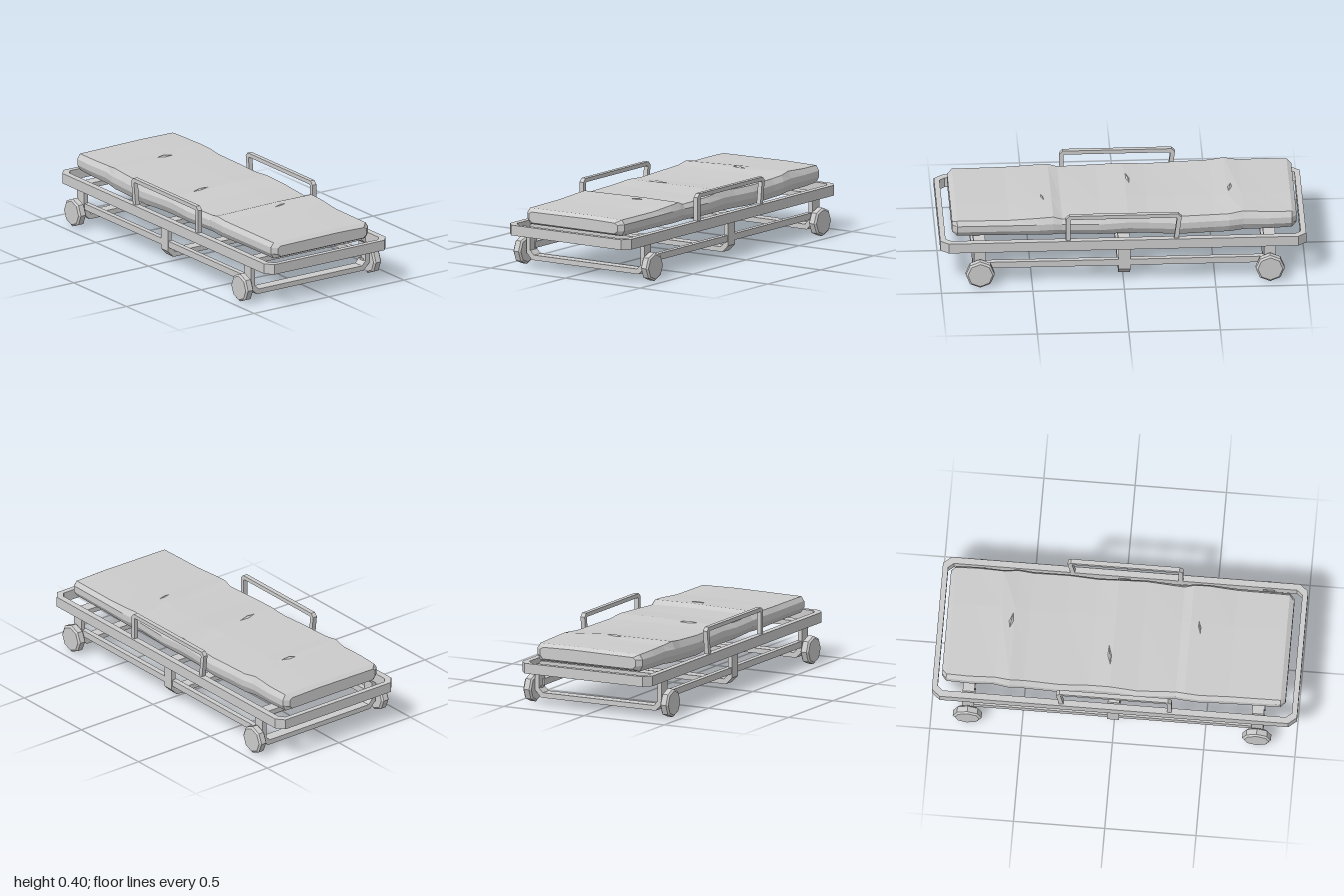
import * as THREE from 'three';
import { ConvexGeometry } from 'three/addons/geometries/ConvexGeometry.js';

const CX = 0.004; // the frame sits very slightly off centre
const mat = new THREE.MeshStandardMaterial({ color: 0xcccccc, flatShading: true });

function add(parent, name, geometry, x = 0, y = 0, z = 0) {
  const mesh = new THREE.Mesh(geometry, mat);
  mesh.name = name;
  mesh.position.set(x, y, z);
  parent.add(mesh);
  return mesh;
}

// Rectangle with cut corners, half sizes w and h
function cutRect(w, h, cx, cy = cx) {
  return [[w - cx, -h], [w, -h + cy], [w, h - cy], [w - cx, h],
    [-w + cx, h], [-w, h - cy], [-w, -h + cy], [-w + cx, -h]]
    .map(([x, y]) => new THREE.Vector2(x, y));
}

// Closed flat ring, extruded and centred on its depth
function ring(outer, inner, depth) {
  const shape = new THREE.Shape(outer);
  shape.holes.push(new THREE.Path(inner));
  return new THREE.ExtrudeGeometry(shape, { depth, bevelEnabled: false }).translate(0, 0, -depth / 2);
}

// Mattress lofted from cut-corner sections along z
function mattressGeometry() {
  // z, half width, bottom, top at left side, top at right side
  const sections = [
    [0.932, 0.295, 0.268, 0.328, 0.328],
    [0.905, 0.325, 0.255, 0.345, 0.345],
    [0.62, 0.328, 0.255, 0.345, 0.347],
    [0.46, 0.336, 0.255, 0.357, 0.352],
    [0.38, 0.332, 0.254, 0.361, 0.357],
    [0.33, 0.324, 0.254, 0.342, 0.346],
    [0.12, 0.336, 0.252, 0.35, 0.346],
    [-0.03, 0.328, 0.25, 0.36, 0.356],
    [-0.14, 0.326, 0.247, 0.352, 0.35],
    [-0.3, 0.336, 0.241, 0.35, 0.352],
    [-0.5, 0.332, 0.247, 0.354, 0.361],
    [-0.58, 0.338, 0.252, 0.36, 0.371],
    [-0.66, 0.326, 0.257, 0.37, 0.362],
    [-0.8, 0.332, 0.262, 0.364, 0.362],
    [-0.925, 0.328, 0.266, 0.362, 0.36],
    [-0.95, 0.298, 0.28, 0.345, 0.345],
  ];
  const pos = [], index = [], n = 10;
  for (const [z, w, b, l, r] of sections) {
    const mid = (b + (l + r) / 2) / 2;
    const profile = [[-w + 0.02, b], [0, b], [w - 0.02, b], [w, mid - 0.015], [w, mid + 0.02],
      [w - 0.018, l], [0.1, (l + r) / 2 + 0.004], [-w + 0.018, r], [-w, mid + 0.02], [-w, mid - 0.015]];
    for (const [x, y] of profile) pos.push(x + CX, y, z);
  }
  for (let s = 0; s < sections.length - 1; s++) {
    for (let i = 0; i < n; i++) {
      const a = s * n + i, b = s * n + (i + 1) % n;
      index.push(a, a + n, b, b, a + n, b + n);
    }
  }
  const last = (sections.length - 1) * n;
  for (let i = 1; i < n - 1; i++) {
    index.push(0, i, i + 1, last, last + i + 1, last + i);
  }
  const g = new THREE.BufferGeometry();
  g.setAttribute('position', new THREE.Float32BufferAttribute(pos, 3));
  g.setIndex(index);
  const flat = g.toNonIndexed();
  flat.computeVertexNormals();
  return flat;
}

export function createModel() {
  const model = new THREE.Group();
  model.name = 'stretcher';

  // Bed frame
  const frame = ring(cutRect(0.406, 1, 0.038, 0.045), cutRect(0.37, 0.97, 0.025, 0.03), 0.057);
  add(model, 'bedFrame', frame.rotateX(-Math.PI / 2), CX, 0.228, 0);

  // Mattress and its creases
  const mattress = new THREE.Group();
  mattress.name = 'mattress';
  model.add(mattress);
  add(mattress, 'mattressBody', mattressGeometry());
  const creases = [[-0.03, 0.45, 0.19, 0.41, 0.356], [-0.23, -0.03, -0.02, -0.06, 0.357],
    [-0.05, -0.61, 0.1, -0.585, 0.37]];
  for (const [x0, z0, x1, z1, y] of creases) {
    const xm = (x0 + x1) / 2, zm = (z0 + z1) / 2;
    add(mattress, 'crease', new ConvexGeometry([
      new THREE.Vector3(x0, y - 0.008, z0), new THREE.Vector3(x1, y - 0.005, z1),
      new THREE.Vector3(xm, y + 0.009, zm), new THREE.Vector3(xm, y - 0.015, zm + 0.03),
      new THREE.Vector3(xm, y - 0.015, zm - 0.03)]));
  }

  // Bracket loops that hang under the frame
  for (const z of [0.785, -0.005, -0.8]) {
    const loop = ring(cutRect(0.395, 0.1025, 0.038), cutRect(0.369, 0.0745, 0.024), 0.065);
    add(model, 'underBracket', loop, CX, 0.1375, z);
  }

  // Bent hand rail, drawn in the z-y plane
  const railOutline = [[-0.3, 0.24], [-0.318, 0.385], [-0.3, 0.405], [0.295, 0.405], [0.315, 0.385],
    [0.315, 0.24], [0.29, 0.24], [0.29, 0.38], [0.283, 0.383], [-0.287, 0.383], [-0.293, 0.378], [-0.275, 0.24]];
  const railShape = new THREE.Shape(railOutline.map(([z, y]) => new THREE.Vector2(-z, y)));

  for (const side of [-1, 1]) {
    const label = side > 0 ? 'left' : 'right';
    const rail = new THREE.ExtrudeGeometry(railShape, { depth: 0.026, bevelEnabled: false });
    rail.translate(0, 0, -0.013).rotateY(Math.PI / 2);
    add(model, label + 'HandRail', rail, CX + side * 0.382, 0, 0);

    // Long lower bar linking the brackets
    add(model, label + 'LowerBar', new THREE.BoxGeometry(0.03, 0.036, 1.57), CX + side * 0.376, 0.113, -0.007);

    // Eight-sided wheels with bevelled rims
    for (const z of [0.785, -0.8]) {
      const profile = [[0, -0.025], [0.068, -0.025], [0.079, -0.016], [0.079, 0.016], [0.068, 0.025], [0, 0.025]]
        .map(([r, y]) => new THREE.Vector2(r, y));
      const wheel = new THREE.LatheGeometry(profile, 8).rotateZ(Math.PI / 2);
      add(model, label + 'Wheel', wheel, side * 0.427, 0.081, z);
      add(model, label + 'Axle', new THREE.BoxGeometry(0.05, 0.03, 0.03), side * 0.395, 0.081, z);
    }
  }
  return model;
}
